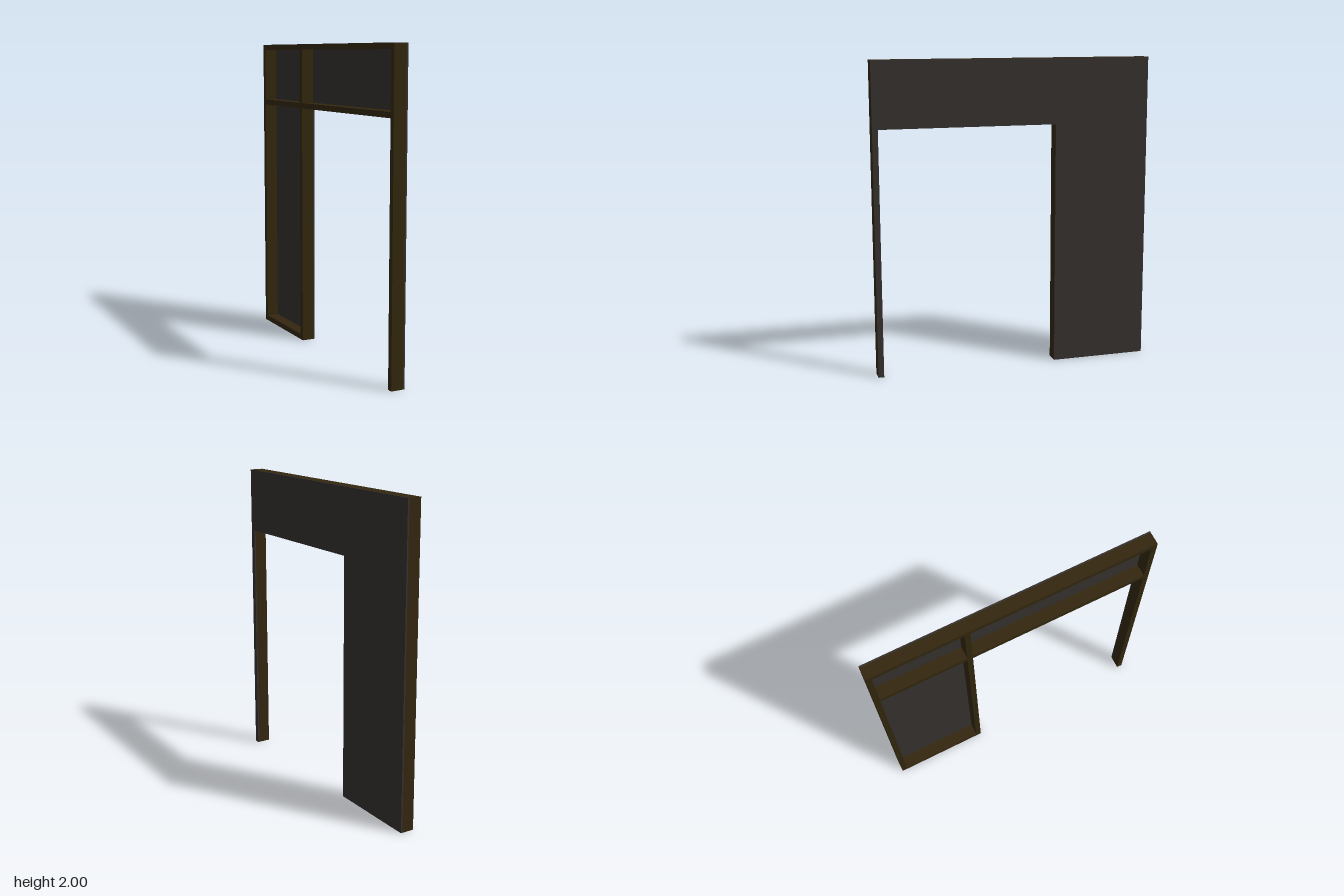
import * as THREE from 'three';

const HALF_Z = 0.905, HEIGHT = 2, HALF_X = 0.045; // overall wall size
const T = 0.036;                                  // timber thickness
const SHEET = 0.01;                               // cladding thickness
const DOOR_TOP = 1.58, DOOR_BACK = -0.275;        // opening edges

export function createModel() {
  const group = new THREE.Group();
  const wood = new THREE.MeshStandardMaterial({ color: 0x33270f });
  const sheet = new THREE.MeshStandardMaterial({ color: 0x35312e });
  const depth = 2 * HALF_X - SHEET;

  // A timber spanning y0..y1 and z0..z1, behind the cladding
  const timber = (name, y0, y1, z0, z1) => {
    const mesh = new THREE.Mesh(new THREE.BoxGeometry(depth, y1 - y0, z1 - z0), wood);
    mesh.position.set(-SHEET / 2, (y0 + y1) / 2, (z0 + z1) / 2);
    mesh.name = name;
    group.add(mesh);
  };

  // Upright studs between the floor and the top plate
  const backStud = -HALF_Z + T, doorStud = DOOR_BACK - T, frontStud = HALF_Z - T;
  timber('backStud', 0, HEIGHT - T, -HALF_Z, backStud);
  timber('doorStud', 0, HEIGHT - T, doorStud, DOOR_BACK);
  timber('frontStud', 0, HEIGHT - T, frontStud, HALF_Z);

  // Horizontal rails
  timber('topPlate', HEIGHT - T, HEIGHT, -HALF_Z, HALF_Z);
  timber('bottomPlate', 0, T, backStud, doorStud);
  timber('middleRail', DOOR_TOP, DOOR_TOP + T, backStud, doorStud);
  timber('doorHeader', DOOR_TOP, DOOR_TOP + T, DOOR_BACK, frontStud);

  // Cladding sheet with the doorway cut out, drawn in (-z, y)
  const outline = new THREE.Shape([
    [-HALF_Z, 0], [-frontStud, 0], [-frontStud, DOOR_TOP], [-DOOR_BACK, DOOR_TOP],
    [-DOOR_BACK, 0], [HALF_Z, 0], [HALF_Z, HEIGHT], [-HALF_Z, HEIGHT],
  ].map(([u, v]) => new THREE.Vector2(u, v)));
  const geometry = new THREE.ExtrudeGeometry(outline, { depth: SHEET, bevelEnabled: false });
  geometry.rotateY(Math.PI / 2);
  const cladding = new THREE.Mesh(geometry, sheet);
  cladding.position.x = HALF_X - SHEET;
  cladding.name = 'claddingPanel';
  group.add(cladding);

  return group;
}
